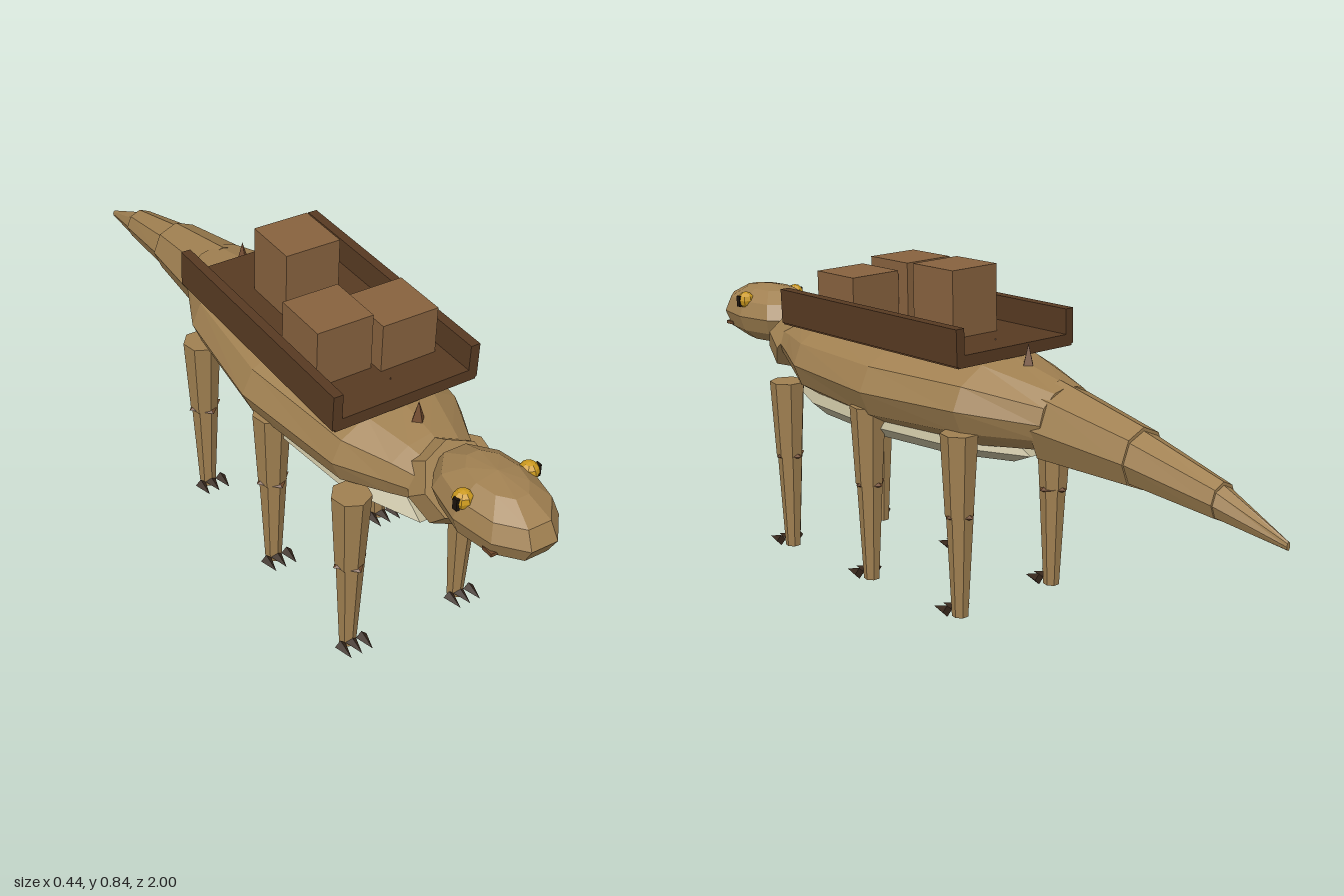
import * as THREE from 'three';

const mat = (name, color) => {
  const m = new THREE.MeshStandardMaterial({ color, flatShading: true });
  m.name = name;
  return m;
};

// Closed faceted skin over elliptical rings [z, y, rx, ry], ordered front to back
function loft(rings, sides) {
  const pos = [], idx = [];
  for (const [z, y, rx, ry] of rings) {
    for (let j = 0; j < sides; j++) {
      const a = (j / sides) * Math.PI * 2;
      pos.push(rx * Math.cos(a), y + ry * Math.sin(a), z);
    }
  }
  const last = rings.length - 1;
  for (let i = 0; i < last; i++) {
    for (let j = 0; j < sides; j++) {
      const k = (j + 1) % sides;
      const a = i * sides + j, b = i * sides + k, c = a + sides, d = b + sides;
      idx.push(a, c, b, b, c, d);
    }
  }
  for (let j = 1; j < sides - 1; j++) {
    idx.push(0, j, j + 1);
    idx.push(last * sides, last * sides + j + 1, last * sides + j);
  }
  const g = new THREE.BufferGeometry();
  g.setAttribute('position', new THREE.Float32BufferAttribute(pos, 3));
  g.setIndex(idx);
  const flat = g.toNonIndexed();
  flat.computeVertexNormals();
  return flat;
}

export function createModel() {
  const root = new THREE.Group();
  root.name = 'packLizard';

  const skin = mat('tan skin', 0xa08051);
  const bellyMat = mat('pale belly', 0xb9b294);
  const spikeMat = mat('brown spike', 0x70492c);
  const clawMat = mat('dark claw', 0x38281c);
  const wood = mat('dark wood', 0x573a22);
  const crateMat = mat('crate brown', 0x87623e);
  const gold = mat('gold eye', 0xcc9a1e);
  const black = mat('pupil black', 0x1c140c);

  const add = (name, geo, material, x = 0, y = 0, z = 0, parent = root) => {
    const m = new THREE.Mesh(geo, material);
    m.name = name;
    m.position.set(x, y, z);
    parent.add(m);
    return m;
  };
  const box = (w, h, d) => new THREE.BoxGeometry(w, h, d);

  // Trunk and belly
  add('body', loft([
    [0.69, 0.55, 0.08, 0.055], [0.60, 0.54, 0.12, 0.085], [0.48, 0.53, 0.18, 0.112],
    [0.15, 0.525, 0.22, 0.125], [-0.16, 0.53, 0.185, 0.115], [-0.36, 0.52, 0.095, 0.08],
  ], 12), skin);
  add('belly', new THREE.SphereGeometry(1, 10, 6), bellyMat, 0, 0.42, 0.18).scale.set(0.16, 0.053, 0.49);

  // Tail segments, each overlapping the next with a small lip
  [
    [[-0.33, 0.505, 0.102, 0.105], [-0.595, 0.475, 0.072, 0.074]],
    [[-0.585, 0.475, 0.068, 0.068], [-0.825, 0.43, 0.042, 0.045]],
    [[-0.815, 0.43, 0.039, 0.042], [-1.0, 0.375, 0.006, 0.01]],
  ].forEach((rings, i) => add('tailSegment' + (i + 1), loft(rings, 8), skin));

  // Neck collar, tilted forward and up
  const neck = add('neck', new THREE.CylinderGeometry(0.092, 0.102, 0.06, 8), skin, 0, 0.553, 0.688);
  neck.rotation.x = 0.9;

  // Head
  const head = new THREE.Group();
  head.name = 'head';
  head.position.set(0, 0.6, 0.83);
  root.add(head);
  add('skull', new THREE.SphereGeometry(1, 10, 6), skin, 0, 0, 0, head).scale.set(0.109, 0.084, 0.175);
  for (const s of [-1, 1]) {
    add('eye', new THREE.SphereGeometry(0.024, 8, 6), gold, s * 0.086, 0.045, 0, head);
    add('pupil', box(0.009, 0.03, 0.014), black, s * 0.106, 0.043, 0.004, head);
    add('nostril', box(0.03, 0.009, 0.03), spikeMat, s * 0.07, -0.034, 0.088, head);
  }

  // Spine spikes: [z, base y, height, radius]
  for (const [z, y, h, r] of [[0.55, 0.62, 0.06, 0.02], [0.44, 0.63, 0.045, 0.018],
    [-0.11, 0.63, 0.045, 0.018], [-0.225, 0.615, 0.065, 0.02]]) {
    add('spineSpike', new THREE.ConeGeometry(r, h, 4), spikeMat, 0, y + h / 2, z);
  }
  add('middleSpine', new THREE.ConeGeometry(0.06, 0.1, 4), skin, 0, 0.66, 0.16).scale.x = 0.35;

  // Six legs with knee spikes and three claws each
  for (const s of [-1, 1]) {
    for (const z of [0.535, 0.188, -0.158]) {
      const leg = new THREE.Group();
      leg.name = s > 0 ? 'leftLeg' : 'rightLeg';
      leg.position.set(s * 0.16, 0, z);
      root.add(leg);
      add('thigh', new THREE.CylinderGeometry(0.048, 0.036, 0.21, 7), skin, s * 0.002, 0.37, 0, leg);
      add('shin', new THREE.CylinderGeometry(0.035, 0.021, 0.265, 7), skin, 0, 0.1375, 0, leg);
      add('kneeSpikes', new THREE.OctahedronGeometry(1), spikeMat, 0, 0.268, 0, leg).scale.set(0.046, 0.022, 0.047);
      for (const dx of [-0.03, 0, 0.03]) {
        const claw = add('claw', new THREE.ConeGeometry(0.015, 0.05, 4), clawMat, dx, 0.02, 0.04, leg);
        claw.rotation.x = Math.PI / 2;
      }
    }
  }

  // Cargo platform with side rails
  add('platform', box(0.38, 0.03, 0.69), wood, 0, 0.655, 0.16);
  for (const s of [-1, 1]) {
    add('rail', box(0.025, 0.09, 0.69), wood, s * 0.183, 0.69, 0.16).rotation.z = -0.03;
  }

  // Crates: [x, z, width, height]
  for (const [x, z, w, h] of [[0, 0.037, 0.147, 0.172], [-0.086, 0.308, 0.147, 0.147], [0.073, 0.332, 0.15, 0.124]]) {
    add('crate', box(w, h, 0.147), crateMat, x, 0.668 + h / 2, z).rotation.z = -0.012;
  }

  return root;
}
